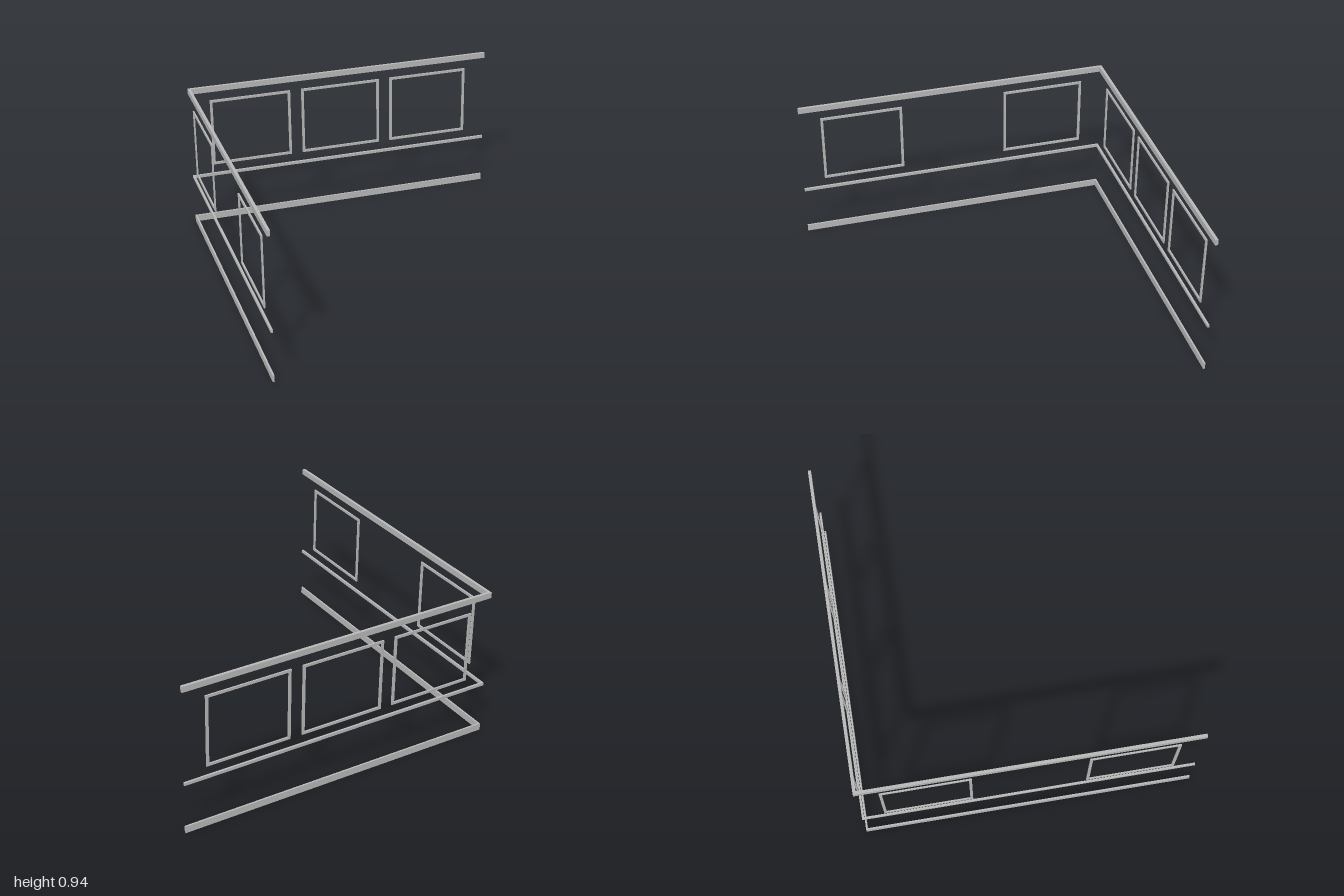
import * as THREE from 'three';

const plaster = new THREE.MeshStandardMaterial({ color: 0xb8b8b8 });
plaster.name = 'grey trim';

// Horizontal trim: [name, bottom, height, depth from wall]
const RAILS = [
  ['baseboard', 0, 0.043, 0.011],
  ['chairRail', 0.313, 0.018, 0.013],
  ['cornice', 0.9, 0.036, 0.018],
];

function addBox(parent, name, w, h, d, x, y, z) {
  const mesh = new THREE.Mesh(new THREE.BoxGeometry(w, h, d), plaster);
  mesh.name = name;
  mesh.position.set(x, y, z);
  parent.add(mesh);
}

// Rectangular picture-frame moulding with an open middle
function frameGeometry() {
  const w = 0.526, h = 0.448, bar = 0.016;
  const rect = (Type, a, b) => {
    const path = new Type();
    path.moveTo(-a, -b);
    path.lineTo(a, -b);
    path.lineTo(a, b);
    path.lineTo(-a, b);
    path.closePath();
    return path;
  };
  const shape = rect(THREE.Shape, w / 2, h / 2);
  shape.holes.push(rect(THREE.Path, w / 2 - bar, h / 2 - bar));
  return new THREE.ExtrudeGeometry(shape, { depth: 0.009, bevelEnabled: false });
}

export function createModel() {
  const model = new THREE.Group();
  model.name = 'wallPanelling';

  // Trim runs along both walls, meeting at the back corner
  for (const [name, bottom, h, d] of RAILS) {
    const y = bottom + h / 2;
    addBox(model, name + 'Back', 2, h, d, 0, y, -1 + d / 2);
    addBox(model, name + 'Side', d, h, 2 - d, -1 + d / 2, y, d / 2);
  }

  const geometry = frameGeometry();
  const addFrame = (name, x, z, turn) => {
    const mesh = new THREE.Mesh(geometry, plaster);
    mesh.name = name;
    mesh.position.set(x, 0.614, z);
    mesh.rotation.y = turn;
    model.add(mesh);
  };

  // Three frames on the back wall, two on the side wall
  for (const x of [-0.6, 0, 0.6]) addFrame('backPanelFrame', x, -1, 0);
  for (const z of [-0.6, 0.6]) addFrame('sidePanelFrame', -1, z, Math.PI / 2);

  return model;
}
